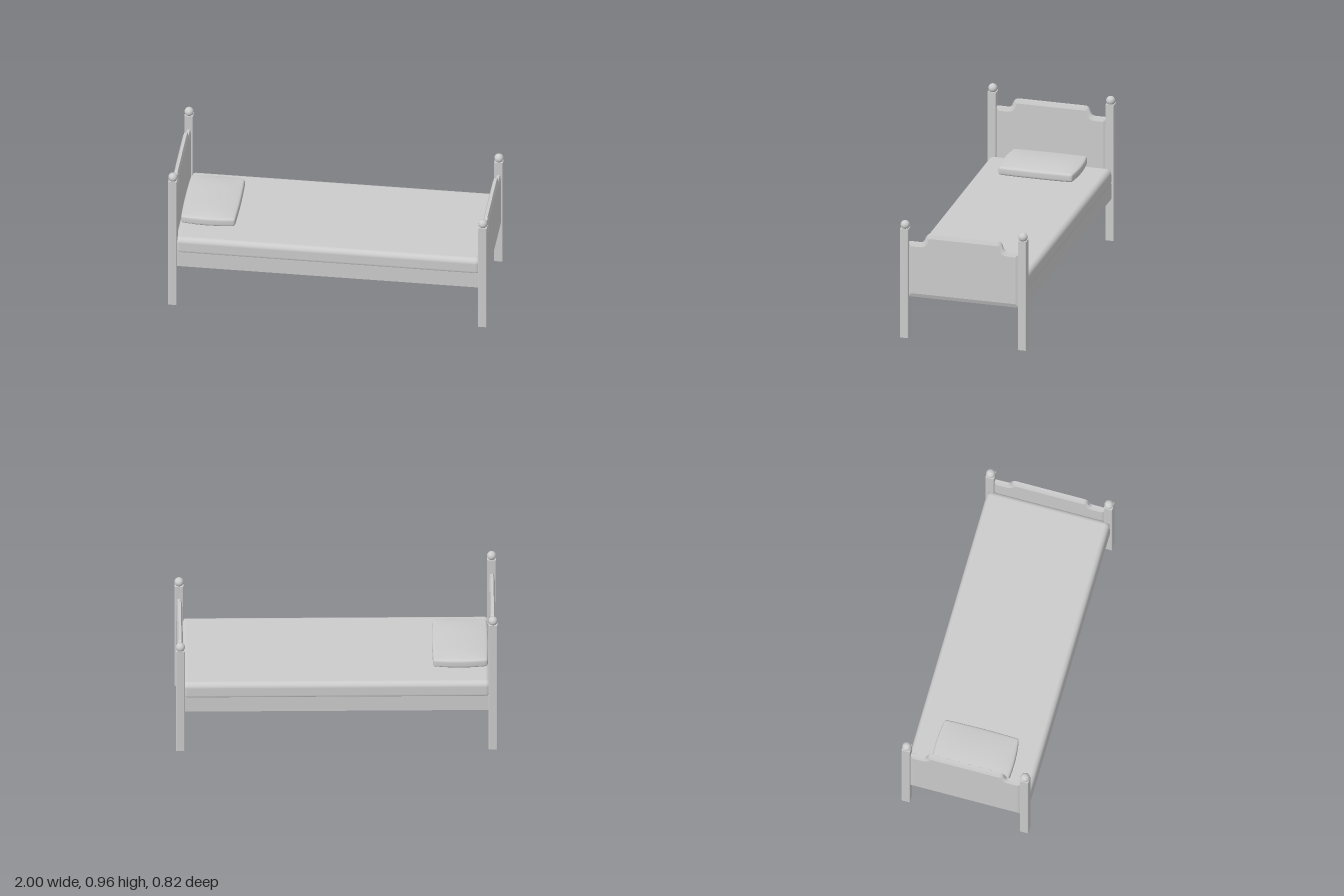
import * as THREE from 'three';
import { mergeVertices } from 'three/addons/utils/BufferGeometryUtils.js';
import { RoundedBoxGeometry } from 'three/addons/geometries/RoundedBoxGeometry.js';

const material = new THREE.MeshStandardMaterial({ color: 0xcccccc });

function add(parent, name, geometry, x = 0, y = 0, z = 0) {
  const mesh = new THREE.Mesh(geometry, material);
  mesh.name = name;
  mesh.position.set(x, y, z);
  parent.add(mesh);
}

// Board with low shoulders sweeping up in an S curve to a raised centre,
// bevelled all round so both faces carry a flat field
function createBoard(shoulder) {
  const side = 0.362, bottom = 0.275, top = shoulder + 0.062;
  const s = new THREE.Shape();
  s.moveTo(-side, bottom);
  s.lineTo(side, bottom);
  s.lineTo(side, shoulder);
  s.lineTo(0.283, shoulder);
  s.bezierCurveTo(0.238, shoulder, 0.262, top, 0.215, top);
  s.lineTo(-0.215, top);
  s.bezierCurveTo(-0.262, top, -0.238, shoulder, -0.283, shoulder);
  s.lineTo(-side, shoulder);
  s.closePath();
  const depth = 0.018;
  return new THREE.ExtrudeGeometry(s, {
    depth, curveSegments: 10, bevelSegments: 1,
    bevelThickness: 0.009, bevelSize: 0.025, bevelOffset: -0.025,
  }).translate(0, 0, -depth / 2).rotateY(Math.PI / 2);
}

// Square post with slightly eased vertical edges, standing on y = 0
function createPost(height) {
  const h = 0.0275, r = 0.006;
  const s = new THREE.Shape();
  s.absarc(h - r, h - r, r, 0, Math.PI / 2);
  s.absarc(r - h, h - r, r, Math.PI / 2, Math.PI);
  s.absarc(r - h, r - h, r, Math.PI, Math.PI * 1.5);
  s.absarc(h - r, r - h, r, Math.PI * 1.5, Math.PI * 2);
  return new THREE.ExtrudeGeometry(s, { depth: height, bevelEnabled: false, curveSegments: 4 })
    .rotateX(-Math.PI / 2);
}

// One end of the bed: board, two posts and ball finials
function createEnd(name, x, shoulder, postHeight) {
  const end = new THREE.Group();
  end.name = name;
  add(end, 'board', createBoard(shoulder), x);
  for (const z of [-0.382, 0.382]) {
    add(end, 'post', createPost(postHeight), x, 0, z);
    add(end, 'finial', new THREE.SphereGeometry(0.029, 28, 20), x, postHeight + 0.02, z);
  }
  return end;
}

// Pillow: a fine box with rounded edges, domed faces and bowed sides
function createPillow() {
  const half = new THREE.Vector3(0.175, 0.026, 0.254), r = 0.014;
  let g = new THREE.BoxGeometry(2, 2, 2, 28, 10, 32);
  g.deleteAttribute('uv');
  g.deleteAttribute('normal');
  g = mergeVertices(g);
  const pos = g.attributes.position;
  const p = new THREE.Vector3(), core = new THREE.Vector3();
  const inner = half.clone().subScalar(r);
  const innerMin = inner.clone().negate();
  for (let i = 0; i < pos.count; i++) {
    p.fromBufferAttribute(pos, i);
    // crowd the grid toward the edges so they stay round
    for (const a of ['x', 'y', 'z']) p[a] = Math.sin(p[a] * Math.PI / 2);
    p.multiply(half);
    core.copy(p).clamp(innerMin, inner);
    p.sub(core).setLength(r).add(core);
    const u = p.x / half.x, w = p.z / half.z;
    p.y *= 1 + 0.57 * (1 - u * u) * (1 - Math.pow(w, 4));
    p.x *= 1 - 0.03 * w * w;
    p.z *= 1 - 0.06 * u * u;
    pos.setXYZ(i, p.x, p.y, p.z);
  }
  g.computeVertexNormals();
  return g;
}

export function createModel() {
  const bed = new THREE.Group();
  bed.name = 'bed';

  bed.add(createEnd('headboard', -0.9725, 0.81, 0.907));
  bed.add(createEnd('footboard', 0.9725, 0.638, 0.727));

  // Side rails and the recessed deck between them
  for (const z of [-0.381, 0.381]) add(bed, 'sideRail', new THREE.BoxGeometry(1.9, 0.105, 0.026), 0, 0.3325, z);
  add(bed, 'deck', new THREE.BoxGeometry(1.92, 0.03, 0.74), 0, 0.37, 0);

  add(bed, 'mattress', new RoundedBoxGeometry(1.92, 0.118, 0.795, 5, 0.034), 0, 0.424, 0);
  add(bed, 'pillow', createPillow(), -0.772, 0.526, 0);
  return bed;
}
